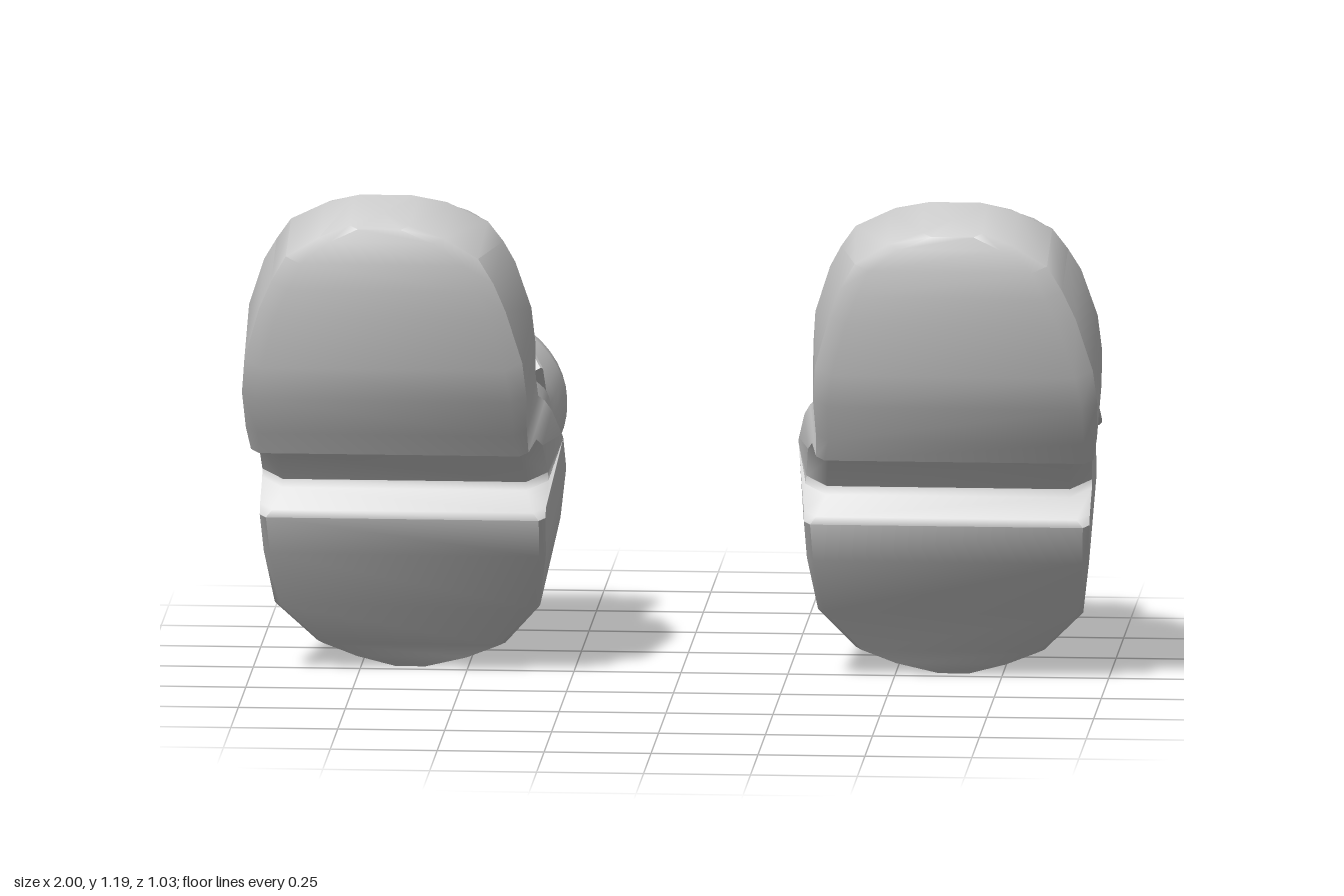
import * as THREE from 'three';
import { toCreasedNormals } from 'three/addons/utils/BufferGeometryUtils.js';

const V = (x, y, z) => new THREE.Vector3(x, y, z);
const mat = new THREE.MeshStandardMaterial({ color: 0xcccccc, side: THREE.DoubleSide });

// Shoe space: x across, y up from the sole, z from heel to toe.
// Sole stations: z, inner x, outer x, underside y, top y, width of the lower bevel
const SOLE = [
  [-0.005, 0.57, 0.68, 0.005, 0.27, 0.01], [0.03, 0.47, 0.77, 0, 0.285, 0.012], [0.07, 0.39, 0.85, 0, 0.3, 0.015],
  [0.19, 0.305, 0.945, 0, 0.32, 0.015], [0.355, 0.285, 0.965, 0, 0.315, 0.015], [0.47, 0.285, 0.97, 0, 0.283, 0.015],
  [0.484, 0.285, 0.97, 0.012, 0.278, 0.03], [0.487, 0.285, 0.97, 0.085, 0.278, 0.05], [0.5, 0.287, 0.97, 0.1, 0.275, 0.05],
  [0.6, 0.305, 0.975, 0.085, 0.248, 0.05], [0.636, 0.32, 0.98, 0.073, 0.243, 0.04], [0.654, 0.335, 0.985, 0.023, 0.241, 0.02],
  [0.72, 0.338, 0.995, 0.02, 0.237, 0.03], [0.83, 0.335, 1, 0.018, 0.238, 0.035], [0.92, 0.342, 0.992, 0.03, 0.258, 0.04],
  [1.05, 0.378, 0.955, 0.065, 0.3, 0.04], [1.12, 0.405, 0.925, 0.085, 0.318, 0.04], [1.18, 0.44, 0.89, 0.11, 0.325, 0.035],
  [1.23, 0.52, 0.81, 0.132, 0.325, 0.025], [1.255, 0.6, 0.74, 0.15, 0.32, 0.02]
];
// The toe wall leans back by this much at the top
const toeLean = (z) => 0.048 * THREE.MathUtils.smoothstep(z, 0.95, 1.15);
// Height of the upper along the shoe: z, y
const TOP = [[0, 0.485], [0.115, 0.51], [0.28, 0.495], [0.47, 0.43], [0.62, 0.395], [0.8, 0.395],
  [0.9, 0.407], [1, 0.428], [1.1, 0.42], [1.2, 0.395]];

function lookup(table, z, col) {
  let i = 1;
  while (i < table.length - 1 && table[i][0] < z) i++;
  const a = table[i - 1], b = table[i];
  return THREE.MathUtils.lerp(a[col], b[col], THREE.MathUtils.clamp((z - a[0]) / (b[0] - a[0]), 0, 1));
}

// Skin closed rings of equal length, optionally closing the ends
function loft(rings, capStart, capEnd) {
  const n = rings[0].length, idx = [], pts = rings.flat();
  for (let i = 0; i < rings.length - 1; i++)
    for (let j = 0; j < n; j++) {
      const k = (j + 1) % n, a = i * n + j, b = i * n + k;
      idx.push(a, b, b + n, a, b + n, a + n);
    }
  const cap = (ring, base, flip) => {
    const c = pts.length;
    pts.push(ring.reduce((s, p) => s.add(p), V(0, 0, 0)).divideScalar(n));
    for (let j = 0; j < n; j++) {
      const a = base + j, b = base + (j + 1) % n;
      idx.push(...(flip ? [b, a, c] : [a, b, c]));
    }
  };
  if (capStart) cap(rings[0], 0, true);
  if (capEnd) cap(rings.at(-1), (rings.length - 1) * n, false);
  const g = new THREE.BufferGeometry().setFromPoints(pts);
  g.setIndex(idx);
  return g;
}

function soleGeometry() {
  return loft(SOLE.map(([z, a, b, lo, hi, bv]) => {
    const zt = z - toeLean(z);
    const taper = 0.02 * THREE.MathUtils.smoothstep(0.7 - z, 0, 0.3);
    const rise = lo + bv * 0.7;
    return [V(a + taper + bv, lo, z), V(b - bv, lo, z), V(b, rise, z),
      V(b, hi - 0.01, zt), V(b - 0.015, hi, zt), V(a + 0.005, hi, zt),
      V(a - 0.01, hi - 0.01, zt), V(a + taper, rise, z)];
  }), true, true);
}

// Upper: spokes run from the edge of the sole to the foot opening
function upperGeometry() {
  const N = 96, rows = 14, inset = 0.022;
  const st = SOLE.filter((s, i) => i > 1 && s[0] < 1.2 && ![0.484, 0.487, 0.5, 0.636].includes(s[0]));
  const outer = st.map((s) => V(s[2] - inset, 0, s[0] - toeLean(s[0]))).reverse();
  const inner = st.map((s) => V(s[1] + inset - 0.005, 0, s[0] - toeLean(s[0])));
  const edge = new THREE.CatmullRomCurve3(
    [V(0.665, 0, 1.19), V(0.78, 0, 1.172), ...outer, V(0.62, 0, 0.008), ...inner, V(0.55, 0, 1.172)], true, 'centripetal');
  const base = edge.getSpacedPoints(N).slice(0, N);
  const opening = (a, k) => {
    const z = 0.413 + 0.4 * k * Math.cos(a);
    return V(0.57 + 0.075 * z + 0.28 * k * Math.sign(Math.sin(a)) * Math.abs(Math.sin(a)) ** 0.9, 0, z);
  };
  const rings = [];
  for (let r = 0; r <= rows; r++) {
    const t = (r / rows) ** 1.9;
    rings.push(base.map((b, i) => {
      const a = i / N * Math.PI * 2;
      const p = b.clone().lerp(opening(a, 1), t);
      const foot = lookup(SOLE, b.z + toeLean(b.z), 4) - 0.025;
      const g = Math.sqrt(1 - (1 - t) ** (2.7 + 3.3 * Math.max(0, Math.cos(a)) ** 5));
      p.y = foot + (lookup(TOP, p.z, 1) - foot) * g;
      return p;
    }));
  }
  // turned-in collar edge
  rings.push(rings.at(-1).map((q, i) => opening(i / N * Math.PI * 2, 0.95).setY(q.y - 0.05)));
  return loft(rings);
}

// Sock rings: back z, front z, back y, front y, half width, centre x
function sockGeometry() {
  const rows = [
    [0.03, 0.82, 0.33, 0.33, 0.25, 0.6], [0.03, 0.8, 0.37, 0.385, 0.25, 0.6], [0.03, 0.735, 0.41, 0.43, 0.255, 0.59],
    [0.03, 0.65, 0.44, 0.475, 0.257, 0.58], [0.028, 0.575, 0.47, 0.53, 0.26, 0.575], [0.025, 0.55, 0.5, 0.575, 0.262, 0.57],
    [0.02, 0.535, 0.54, 0.63, 0.265, 0.567], [0.016, 0.53, 0.565, 0.66, 0.271, 0.565], [0.018, 0.528, 0.58, 0.675, 0.27, 0.565],
    [0.032, 0.515, 0.592, 0.682, 0.252, 0.565], [0.055, 0.49, 0.592, 0.678, 0.228, 0.565],
    [0.075, 0.473, 0.575, 0.658, 0.21, 0.565], [0.08, 0.47, 0.54, 0.62, 0.205, 0.565], [0.085, 0.52, 0.28, 0.29, 0.21, 0.58]
  ];
  const N = 48;
  return loft(rows.map(([zb, zf, yb, yf, w, x]) => Array.from({ length: N }, (_, i) => {
    const a = i / N * Math.PI * 2, c = Math.cos(a);
    return V(x + w * Math.sin(a), (yb + yf) / 2 + (yf - yb) / 2 * c, (zb + zf) / 2 + (zf - zb) / 2 * c);
  })), false, true);
}

// Strap path from the loose tip on the outer side to where it tucks in on the inner side
const strapPath = new THREE.CatmullRomCurve3([
  V(0.972, 0.31, 0.522), V(0.945, 0.375, 0.548), V(0.885, 0.437, 0.577), V(0.81, 0.487, 0.602), V(0.72, 0.523, 0.625),
  V(0.6, 0.535, 0.637), V(0.46, 0.5, 0.622), V(0.375, 0.43, 0.597), V(0.33, 0.355, 0.57)
]);
function strapFrame(t) {
  const T = strapPath.getTangentAt(t), W = V(0, -0.36, 0.93);
  W.addScaledVector(T, -W.dot(T)).normalize();
  return { P: strapPath.getPointAt(t), T, W, N: T.clone().cross(W) };
}
function strapGeometry() {
  const rings = [];
  for (let i = 0; i <= 44; i++) {
    const t = i < 10 ? 0.09 * (i / 10) ** 2 : 0.09 + 0.91 * (i - 10) / 34;
    const { P, W, N } = strapFrame(t);
    const w = 0.085 * Math.sqrt(1 - Math.max(0, 1 - t / 0.09) ** 2 * 0.97);
    rings.push([[-w, -0.014], [w, -0.014], [w, 0.006], [w - 0.008, 0.012], [0.008 - w, 0.012], [-w, 0.006]]
      .map(([a, b]) => P.clone().addScaledVector(W, a).addScaledVector(N, b)));
  }
  return loft(rings, true, true);
}
function onStrap(g, t, lift) {
  const { P, T, W, N } = strapFrame(t);
  return g.applyMatrix4(new THREE.Matrix4().makeBasis(T, W, N).setPosition(P.addScaledVector(N, lift)));
}

function roundedRect(Type, w, h, r) {
  const s = new Type();
  [[w - r, h - r, 0], [r - w, h - r, 1], [r - w, r - h, 2], [w - r, r - h, 3]]
    .forEach(([x, y, q]) => s.absarc(x, y, r, q * Math.PI / 2, (q + 1) * Math.PI / 2, false));
  return s;
}
function buckleGeometry() {
  const s = roundedRect(THREE.Shape, 0.08, 0.1, 0.025);
  s.holes.push(roundedRect(THREE.Path, 0.062, 0.082, 0.012));
  return new THREE.ExtrudeGeometry(s, { depth: 0.012, bevelSize: 0.005, bevelThickness: 0.005, bevelSegments: 2, curveSegments: 5 });
}

function createShoe(side) {
  const shoe = new THREE.Group();
  shoe.name = side > 0 ? 'leftShoe' : 'rightShoe';
  const add = (name, geometry, crease) => {
    const g = geometry.index ? geometry.toNonIndexed() : geometry;
    if (side < 0) {
      // mirror across x and turn each triangle round
      const p = g.attributes.position, a = V(), b = V();
      for (let i = 0; i < p.count; i += 3) {
        a.fromBufferAttribute(p, i + 1);
        b.fromBufferAttribute(p, i + 2);
        p.setX(i, -p.getX(i));
        p.setXYZ(i + 1, -b.x, b.y, b.z);
        p.setXYZ(i + 2, -a.x, a.y, a.z);
      }
    }
    const mesh = new THREE.Mesh(toCreasedNormals(g, crease), mat);
    mesh.name = name;
    shoe.add(mesh);
  };
  add('sole', soleGeometry(), 0.85);
  add('upper', upperGeometry(), 1.1);
  add('sock', sockGeometry(), 1.1);
  add('strap', strapGeometry(), 0.5);
  add('strapKeeper', onStrap(new THREE.BoxGeometry(0.03, 0.19, 0.042), 0.155, 0.003), 0.5);
  add('buckleFrame', onStrap(buckleGeometry(), 0.31, 0.006), 0.6);
  add('bucklePin', onStrap(new THREE.CylinderGeometry(0.01, 0.01, 0.1, 8).rotateZ(Math.PI / 2), 0.37, 0.024), 0.9);
  // tip the shoe back so the toe points up
  shoe.rotation.x = -1.006;
  shoe.position.z = -0.03;
  return shoe;
}

export function createModel() {
  const model = new THREE.Group();
  model.name = 'shoePair';
  model.add(createShoe(1), createShoe(-1));
  return model;
}
